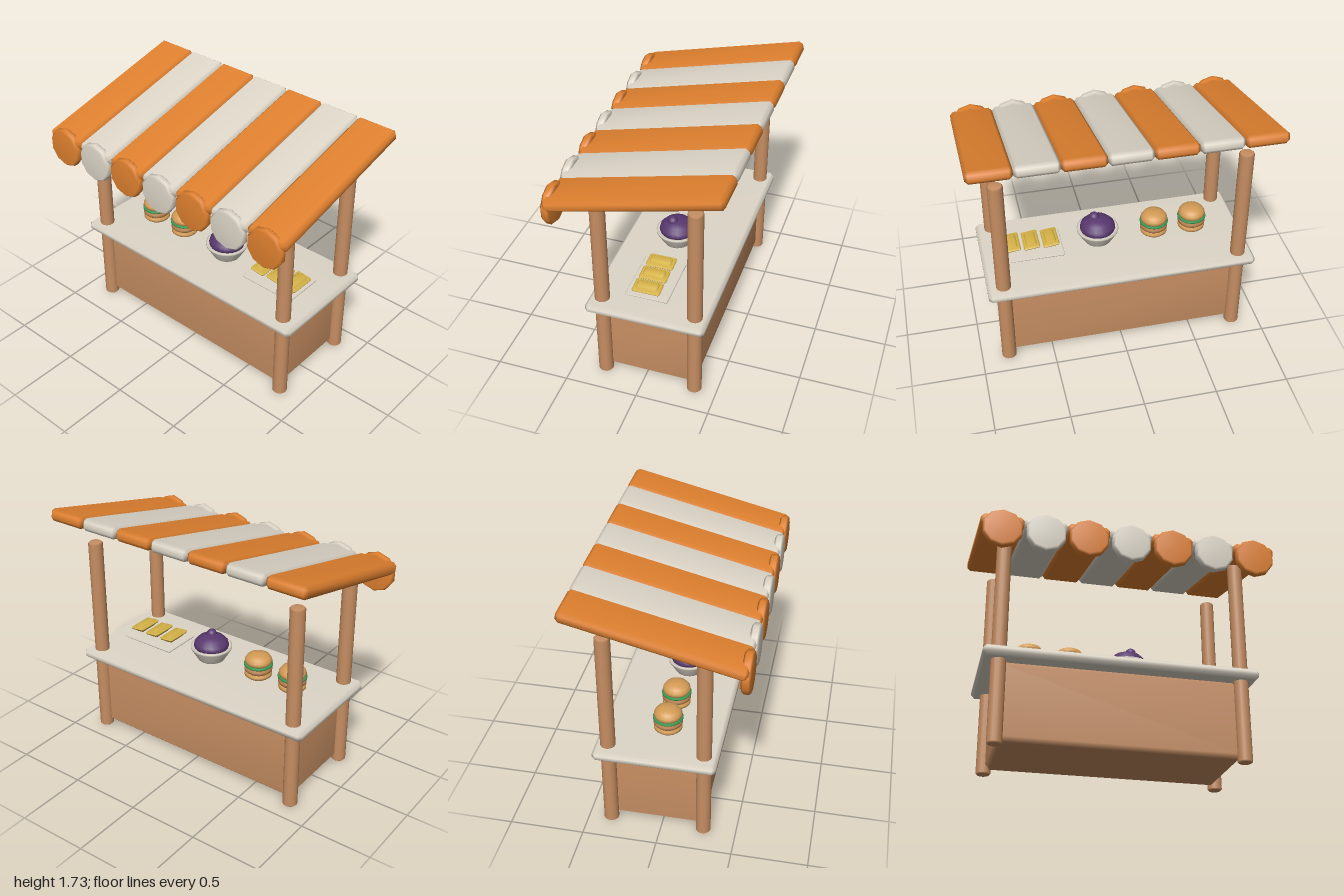
import * as THREE from 'three';
import { mergeVertices } from 'three/addons/utils/BufferGeometryUtils.js';
import { ConvexGeometry } from 'three/addons/geometries/ConvexGeometry.js';

const material = (name, color) => {
  const m = new THREE.MeshStandardMaterial({ color });
  m.name = name;
  return m;
};

// Box with cut edges and soft shared normals
function chamferBox(w, h, d, b) {
  const points = [];
  for (const sx of [-1, 1]) for (const sy of [-1, 1]) for (const sz of [-1, 1]) {
    for (let face = 0; face < 3; face++) {
      const inset = [b, b, b];
      inset[face] = 0;
      points.push(new THREE.Vector3(
        sx * (w / 2 - inset[0]), sy * (h / 2 - inset[1]), sz * (d / 2 - inset[2])));
    }
  }
  const geo = new ConvexGeometry(points);
  geo.deleteAttribute('normal');
  const smooth = mergeVertices(geo, 1e-4);
  smooth.computeVertexNormals();
  return smooth;
}

// Turned solid from [radius, height] pairs, listed bottom to top
const turned = (profile, sides) =>
  new THREE.LatheGeometry(profile.map(([r, y]) => new THREE.Vector2(r, y)), sides);

// Chamfered disc standing on y = 0
const disc = (r, h, b, sides) =>
  turned([[0, 0], [r - b, 0], [r, b], [r, h - b], [r - b, h], [0, h]], sides);

export function createModel() {
  const model = new THREE.Group();
  model.name = 'foodStall';

  const wood = material('wood', 0xc68e62);
  const orange = material('orange cloth', 0xe0812f);
  const cream = material('cream', 0xddd6c8);
  const purple = material('purple berry', 0x58386f);
  const green = material('lettuce', 0x3a9a55);
  const bun = material('bun', 0xd49c56);
  const patty = material('patty', 0xb98250);
  const yellow = material('yellow pastry', 0xd6b347);

  function add(parent, name, geo, mat, x, y, z) {
    const mesh = new THREE.Mesh(geo, mat);
    mesh.name = name;
    mesh.position.set(x, y, z);
    parent.add(mesh);
    return mesh;
  }
  function group(name, x, y, z) {
    const g = new THREE.Group();
    g.name = name;
    g.position.set(x, y, z);
    model.add(g);
    return g;
  }

  // Cabinet and counter
  add(model, 'cabinet', chamferBox(1.61, 0.54, 0.63, 0.03), wood, 0, 0.3, -0.035);
  add(model, 'counter', chamferBox(1.84, 0.075, 0.805, 0.024), cream, 0, 0.602, -0.032);

  // Four posts
  const postGeo = disc(0.05, 1.47, 0.009, 16);
  for (const x of [-0.812, 0.812]) {
    add(model, 'frontPost', postGeo, wood, x, 0, 0.282);
    add(model, 'backPost', postGeo, wood, x, 0, -0.348);
  }

  // Sloping striped awning with a round flap at the front of each stripe
  const stripeGeo = chamferBox(0.285, 0.083, 1.16, 0.022);
  const flapGeo = disc(0.135, 0.06, 0.014, 10);
  flapGeo.rotateX(Math.PI / 2);
  const bulbGeo = new THREE.SphereGeometry(0.035, 16, 12);
  for (let i = -3; i <= 3; i++) {
    const x = i * 0.2858;
    const cloth = i % 2 ? orange : cream;
    add(model, 'awningStripe', stripeGeo, cloth, x, 1.563, -0.004).rotation.x = 0.236;
    add(model, 'awningFlap', flapGeo, cloth, x, 1.375, 0.517);
    if (i % 2 === 0) add(model, 'bulb', bulbGeo, cream, x, 1.31, 0.48);
  }

  // Burgers
  for (const x of [-0.58, -0.305]) {
    const burger = group('burger', x, 0.64, 0);
    add(burger, 'bottomBun', disc(0.094, 0.04, 0.012, 20), bun, 0, 0.005, 0);
    add(burger, 'patty', disc(0.096, 0.042, 0.012, 20), patty, 0, 0.044, 0);
    add(burger, 'lettuce', disc(0.1, 0.02, 0.006, 20), green, 0, 0.088, 0);
    add(burger, 'topBun', turned([[0, 0], [0.085, 0], [0.094, 0.015], [0.092, 0.032],
      [0.077, 0.054], [0.045, 0.068], [0, 0.072]], 20), bun, 0, 0.104, 0);
  }

  // Bowl heaped with a purple dessert
  const bowl = group('dessertBowl', 0.098, 0.636, 0.005);
  add(bowl, 'bowl', turned([[0, 0], [0.09, 0], [0.1, 0.015], [0.144, 0.09], [0.146, 0.105],
    [0.135, 0.11], [0.115, 0.095], [0, 0.09]], 24), cream, 0, 0, 0);
  add(bowl, 'dessert', turned([[0, 0], [0.118, 0], [0.124, 0.02], [0.118, 0.045],
    [0.09, 0.074], [0.05, 0.09], [0, 0.094]], 20), purple, 0, 0.092, 0);
  add(bowl, 'dessertTip', new THREE.SphereGeometry(0.037, 14, 10), purple, 0.018, 0.178, 0.028);

  // Tray of pastries
  const tray = group('pastryTray', 0.56, 0.64, 0);
  add(tray, 'trayBase', chamferBox(0.37, 0.022, 0.25, 0.006), cream, 0, 0.008, 0);
  add(tray, 'trayTop', chamferBox(0.405, 0.016, 0.29, 0.005), cream, 0, 0.022, 0);
  for (const x of [-0.122, 0.012, 0.145]) {
    const pastry = new THREE.Group();
    pastry.name = 'pastry';
    pastry.position.set(x, 0.068, 0.005);
    pastry.rotation.z = -0.12;
    tray.add(pastry);
    add(pastry, 'pastryBody', chamferBox(0.085, 0.056, 0.16, 0.018), yellow, 0, 0, 0);
    add(pastry, 'pastryFilling', chamferBox(0.112, 0.024, 0.19, 0.01), yellow, 0, 0.003, 0);
  }

  return model;
}
